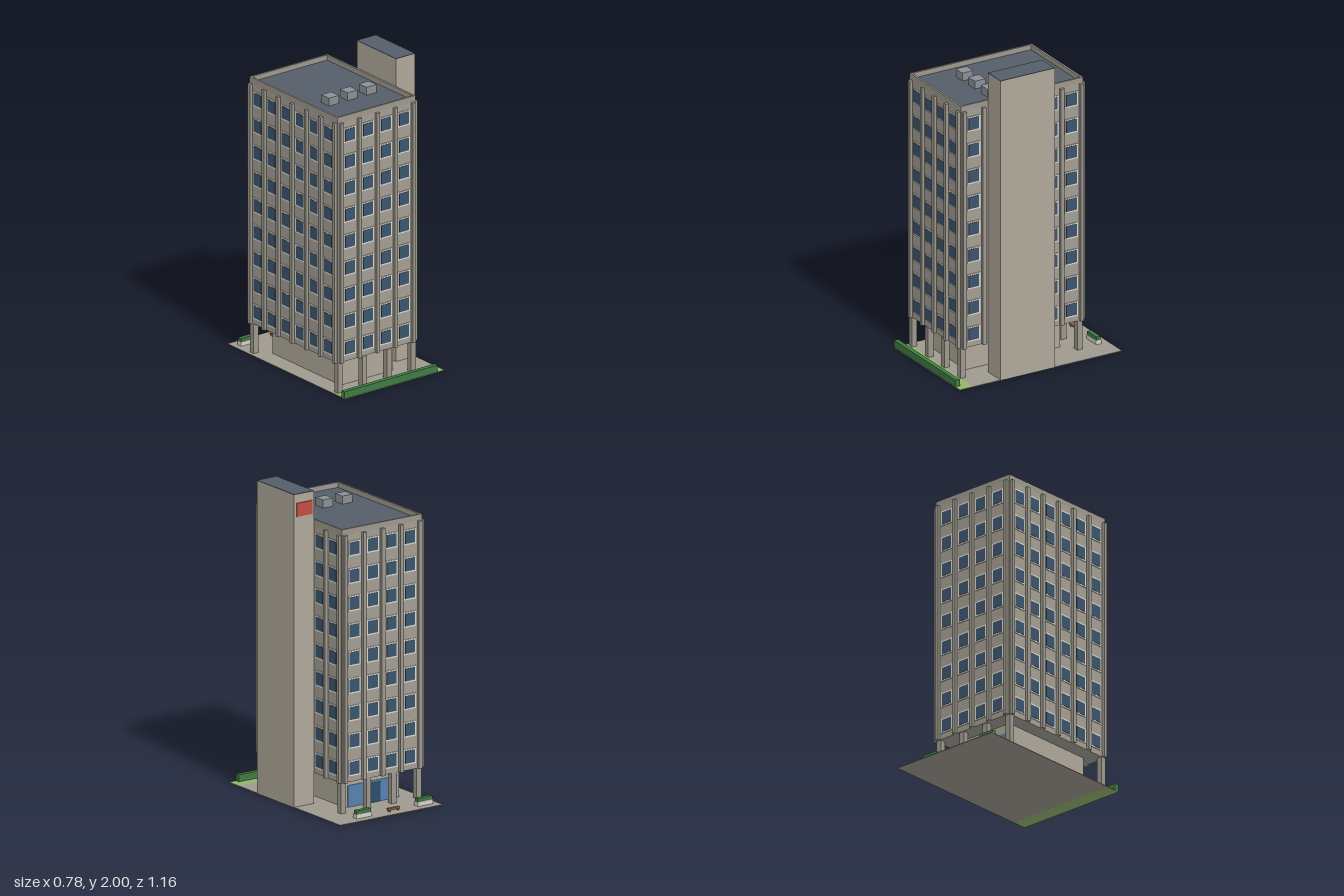
import * as THREE from 'three';

const paint = (color) => new THREE.MeshStandardMaterial({ color });
const M = {
  wall: paint(0xa39e93), trim: paint(0x9d988d), shaft: paint(0xafa799), paving: paint(0x9f998f),
  grass: paint(0x93b56c), hedge: paint(0x3f7a43), roof: paint(0x555d69), vent: paint(0x8b9094),
  frame: paint(0xd9d8cf), window: paint(0x3b546d), lobby: paint(0x5482ad), door: paint(0x2f4d6e),
  sign: paint(0xc0503f), wood: paint(0x966a48), planter: paint(0xd5d3ca),
};

// Box given by its low and high limits on each axis
function box(parent, name, mat, [x0, x1], [y0, y1], [z0, z1]) {
  const mesh = new THREE.Mesh(new THREE.BoxGeometry(x1 - x0, y1 - y0, z1 - z0), mat);
  mesh.position.set((x0 + x1) / 2, (y0 + y1) / 2, (z0 + z1) / 2);
  mesh.name = name;
  parent.add(mesh);
  return mesh;
}

const group = (parent, name) => {
  const g = new THREE.Group();
  g.name = name;
  parent.add(g);
  return g;
};

const around = (c, size) => [c - size / 2, c + size / 2];

const BODY = { x0: -0.366, x1: 0.24, z0: -0.393, z1: 0.482, y0: 0.2, y1: 1.78 };
const CX = -0.0625, CZ = 0.0445, BAY = 0.14;
const SHAFT = { x: [0.24, 0.388], z: [-0.1, 0.29] };
const FLOORS = 9;

// One facade in local space: u runs along the wall, the wall plane is z = 0 facing +z
function facade(parent, name, bays, skip = () => false) {
  const g = group(parent, name);
  for (let i = 0; i <= bays; i++) {
    const u = (i - bays / 2) * BAY;
    if (!skip(u)) box(g, 'pilaster', M.trim, around(u, 0.024), [BODY.y0, BODY.y1], [-0.005, 0.02]);
  }
  for (let i = 0; i < bays; i++) {
    const u = (i + 0.5 - bays / 2) * BAY;
    if (skip(u)) continue;
    for (let f = 0; f < FLOORS; f++) {
      const y = 0.286 + f * 0.1753;
      box(g, 'windowFrame', M.frame, around(u, 0.093), around(y, 0.098), [-0.004, 0.005]);
      box(g, 'windowGlass', M.window, around(u, 0.075), around(y, 0.08), [-0.004, 0.007]);
    }
  }
  return g;
}

export function createModel() {
  const model = new THREE.Group();
  model.name = 'officeTower';

  // Site: paving, lawn strip and hedge
  const site = group(model, 'site');
  box(site, 'paving', M.paving, [-0.388, 0.388], [0, 0.004], [-0.582, 0.482]);
  box(site, 'lawn', M.grass, [-0.388, 0.388], [0, 0.004], [0.482, 0.582]);
  box(site, 'hedge', M.hedge, [-0.388, 0.336], [0.004, 0.048], [0.55, 0.58]);

  // Planters and bench on the rear forecourt
  for (const x of [-0.293, 0.17]) {
    box(site, 'planterBox', M.planter, around(x, 0.116), [0.004, 0.032], around(-0.512, 0.037));
    box(site, 'planterShrub', M.hedge, around(x, 0.108), [0.03, 0.053], around(-0.512, 0.03));
  }
  box(site, 'benchSeat', M.wood, around(CX, 0.086), [0.015, 0.026], around(-0.514, 0.022));
  for (const s of [-1, 1]) {
    box(site, 'benchLeg', M.wood, around(CX + s * 0.032, 0.008), [0.004, 0.016], around(-0.514, 0.018));
  }

  // Ground floor: recessed core, glazed entrance and columns
  const base = group(model, 'groundFloor');
  box(base, 'core', M.shaft, [-0.27, 0.14], [0.004, 0.2], [-0.288, 0.39]);
  box(base, 'lobbyGlass', M.lobby, [-0.25, 0.12], [0.004, 0.142], [-0.293, -0.287]);
  box(base, 'entranceDoor', M.door, around(CX, 0.12), [0.004, 0.13], [-0.296, -0.288]);
  for (let i = 0; i < 4; i++) {
    for (const z of [-0.369, 0.469]) {
      box(base, 'column', M.trim, around(-0.348 + i * 0.19, 0.037), [0.004, 0.2], around(z, 0.037));
    }
  }

  // Main block with a facade on each side
  const block = group(model, 'mainBlock');
  box(block, 'walls', M.wall, [BODY.x0, BODY.x1], [BODY.y0, BODY.y1], [BODY.z0, BODY.z1]);
  facade(block, 'frontFacade', 4).position.set(CX, 0, BODY.z1);
  const back = facade(block, 'backFacade', 4);
  back.position.set(CX, 0, BODY.z0);
  back.rotation.y = Math.PI;
  const plain = facade(block, 'longFacade', 6);
  plain.position.set(BODY.x0, 0, CZ);
  plain.rotation.y = -Math.PI / 2;
  // On this side the stair shaft covers the middle bays (u runs towards -z)
  const shaftSide = facade(block, 'shaftFacade', 6, (u) => CZ - u > SHAFT.z[0] && CZ - u < SHAFT.z[1]);
  shaftSide.position.set(BODY.x1, 0, CZ);
  shaftSide.rotation.y = Math.PI / 2;

  // Roof with parapet and vents
  const roof = group(model, 'roof');
  const t = 0.013, py = [1.78, 1.818];
  box(roof, 'roofDeck', M.roof, [BODY.x0 + t, BODY.x1 - t], [1.775, 1.785], [BODY.z0 + t, BODY.z1 - t]);
  box(roof, 'parapet', M.trim, [BODY.x0, BODY.x1], py, [BODY.z1 - t, BODY.z1]);
  box(roof, 'parapet', M.trim, [BODY.x0, BODY.x1], py, [BODY.z0, BODY.z0 + t]);
  box(roof, 'parapet', M.trim, [BODY.x0, BODY.x0 + t], py, [BODY.z0 + t, BODY.z1 - t]);
  box(roof, 'parapet', M.trim, [BODY.x1 - t, BODY.x1], py, [BODY.z0 + t, BODY.z1 - t]);
  for (const x of [-0.197, -0.051, 0.096]) {
    box(roof, 'roofVent', M.vent, around(x, 0.077), [1.785, 1.837], around(0.192, 0.077));
  }

  // Stair shaft with its roof and sign panel
  const shaft = group(model, 'stairShaft');
  box(shaft, 'shaftWalls', M.shaft, SHAFT.x, [0.004, 1.996], SHAFT.z);
  box(shaft, 'shaftRoof', M.roof, SHAFT.x, [1.996, 2], SHAFT.z);
  box(shaft, 'signPanel', M.sign, [0.255, 0.372], [1.856, 1.942], [-0.107, -0.099]);

  return model;
}
